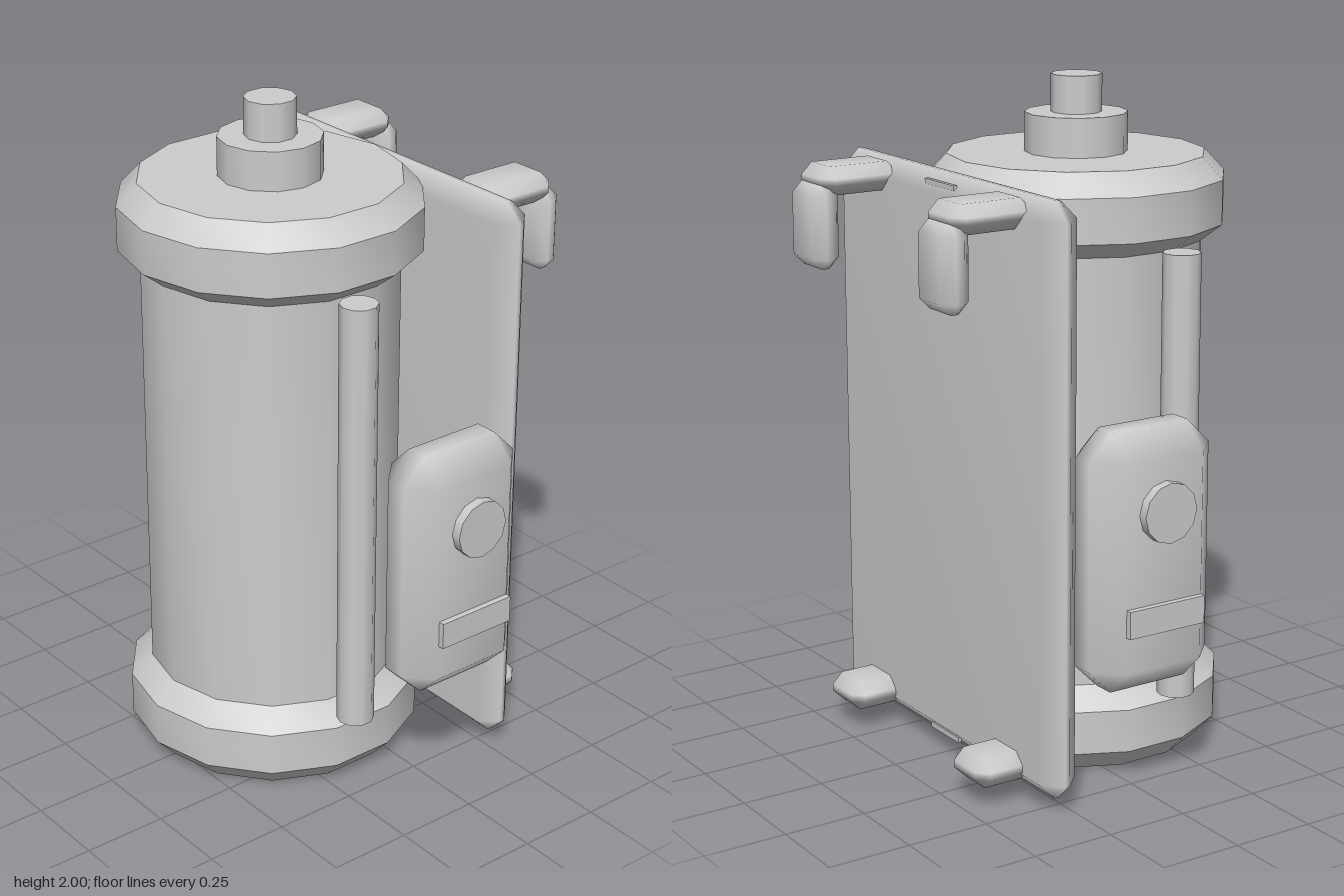
import * as THREE from 'three';
import { mergeVertices, toCreasedNormals } from 'three/addons/utils/BufferGeometryUtils.js';
import { ConvexGeometry } from 'three/addons/geometries/ConvexGeometry.js';

const TANK_X = -0.14;

// Box with chamfered edges and corners, softly shaded, given by its min and max corners
function chamferBox(min, max, c) {
  const mid = min.map((v, i) => (v + max[i]) / 2);
  const half = min.map((v, i) => (max[i] - v) / 2);
  const points = [];
  for (const sx of [-1, 1]) for (const sy of [-1, 1]) for (const sz of [-1, 1]) {
    const s = [sx, sy, sz];
    for (let face = 0; face < 3; face++) {
      points.push(new THREE.Vector3(...s.map((v, i) => v * (half[i] - (i === face ? 0 : c)))));
    }
  }
  let geo = new ConvexGeometry(points);
  geo.deleteAttribute('normal');
  geo = mergeVertices(geo);
  geo.computeVertexNormals();
  return geo.translate(...mid);
}

function plainBox(min, max) {
  return new THREE.BoxGeometry(...min.map((v, i) => max[i] - v))
    .translate(...min.map((v, i) => (v + max[i]) / 2));
}

function cylinder(r, y0, y1, sides) {
  return new THREE.CylinderGeometry(r, r, y1 - y0, sides, 1, false, Math.PI / 2)
    .translate(0, (y0 + y1) / 2, 0);
}

export function createModel() {
  const model = new THREE.Group();
  model.name = 'tankUnit';
  const grey = new THREE.MeshStandardMaterial({ color: 0xcccccc });
  grey.name = 'light grey';

  function add(name, geo, parent = model) {
    const mesh = new THREE.Mesh(geo, grey);
    mesh.name = name;
    parent.add(mesh);
    return mesh;
  }

  // Tank body with bevelled collars at both ends
  const profile = [
    [0, 0], [0.38, 0], [0.44, 0.065], [0.44, 0.195], [0.376, 0.257],
    [0.376, 1.53], [0.44, 1.58], [0.44, 1.71], [0.38, 1.775], [0, 1.775],
  ].map(([r, y]) => new THREE.Vector2(r, y));
  const tank = new THREE.LatheGeometry(profile, 14, Math.PI / 2);
  add('tank', toCreasedNormals(tank, 0.6).translate(TANK_X, 0, 0));

  // Stepped valve on top
  add('valveBase', cylinder(0.151, 1.77, 1.89, 12).translate(TANK_X, 0, 0));
  add('valveStem', cylinder(0.075, 1.88, 2, 10).translate(TANK_X, 0, 0));

  // Mounting panel with small slot tabs on its outer bevels
  add('panel', chamferBox([0.22, 0.035, -0.582], [0.34, 1.75, 0.582], 0.053));
  add('upperTab', plainBox([0.316, 1.712, -0.077], [0.328, 1.727, 0.077]));
  add('lowerTab', plainBox([0.316, 0.056, -0.077], [0.328, 0.071, 0.077]));

  for (const side of [1, -1]) {
    const label = side > 0 ? 'front' : 'back';

    // Vertical pipe beside the tank
    add(label + 'Pipe', cylinder(0.055, 0.23, 1.545, 10).translate(-0.19, 0, side * 0.453));

    // Control pod, turned half round about its own middle for the back
    const pod = new THREE.Group();
    pod.name = label + 'Pod';
    pod.position.x = 0.038;
    pod.rotation.y = side > 0 ? 0 : Math.PI;
    model.add(pod);
    add('podCase', chamferBox([-0.203, 0.36, 0.48], [0.203, 1.115, 0.698], 0.076), pod);
    add('podButton', cylinder(0.087, 0.68, 0.727, 12).rotateX(Math.PI / 2)
      .translate(0, 0.89, 0), pod);
    add('podBar', plainBox([-0.127, 0.545, 0.68], [0.127, 0.625, 0.716]), pod);

    // Hooks on the panel: arm and drop at the top, short peg at the bottom
    const z0 = side * 0.354 - 0.088, z1 = side * 0.354 + 0.088;
    add(label + 'HookArm', chamferBox([0.29, 1.66, z0], [0.545, 1.745, z1], 0.033));
    add(label + 'HookDrop', chamferBox([0.488, 1.447, z0], [0.577, 1.695, z1], 0.033));
    add(label + 'LowerPeg', chamferBox([0.29, 0.062, z0], [0.48, 0.15, z1], 0.033));
  }
  return model;
}
